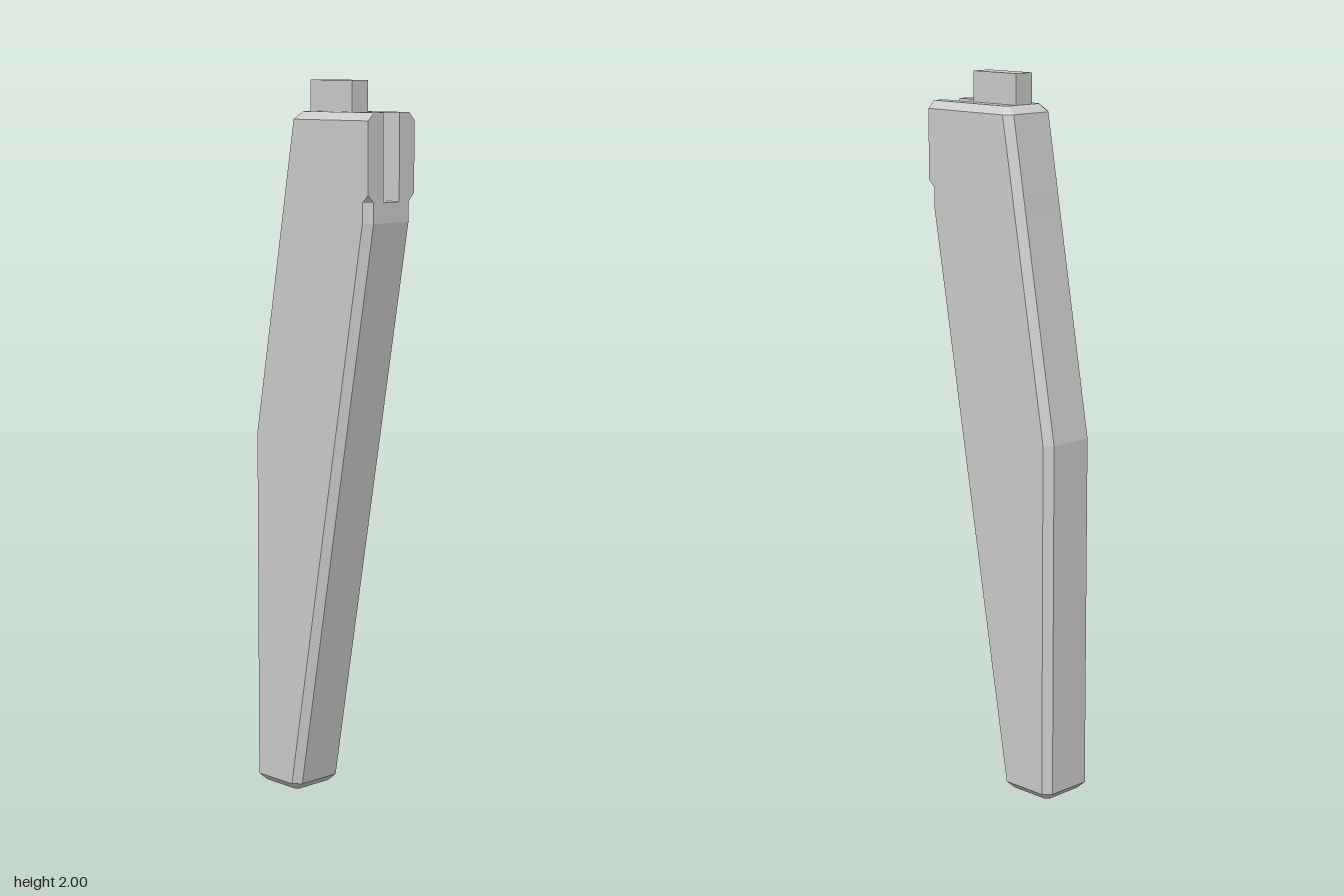
import * as THREE from 'three';

const SLOT = 0.03; // half width of the slot and its tab

// Horizontal section: chamfered rectangle with a slot cut into its front.
function section({ y, back, front, half, cb, cf, slot = front }) {
  const side = [
    [SLOT, slot], [SLOT, front], [half - cf, front],
    [half, front - cf], [half, back + cb], [half - cb, back],
  ];
  const other = side.map(([x, z]) => [-x, z]).reverse();
  return [...side, ...other].map(([x, z]) => new THREE.Vector3(x, y, z));
}

// Joins the sections from bottom to top and closes both ends.
function loft(rings) {
  const pos = [];
  const tri = (a, b, c) => {
    const area = b.clone().sub(a).cross(c.clone().sub(a)).length();
    if (area > 1e-8) for (const p of [a, b, c]) pos.push(p.x, p.y, p.z);
  };
  for (let r = 0; r + 1 < rings.length; r++) {
    const lo = rings[r], hi = rings[r + 1];
    for (let i = 0; i < lo.length; i++) {
      const j = (i + 1) % lo.length;
      tri(lo[i], lo[j], hi[j]);
      tri(lo[i], hi[j], hi[i]);
    }
  }
  const cap = (ring, up) => {
    const flat = ring.map((p) => new THREE.Vector2(p.x, -p.z));
    for (const [a, b, c] of THREE.ShapeUtils.triangulateShape(flat, [])) {
      if (up) tri(ring[a], ring[b], ring[c]);
      else tri(ring[a], ring[c], ring[b]);
    }
  };
  cap(rings[0], false);
  cap(rings[rings.length - 1], true);
  const geo = new THREE.BufferGeometry();
  geo.setAttribute('position', new THREE.Float32BufferAttribute(pos, 3));
  geo.computeVertexNormals();
  return geo;
}

export function createModel() {
  const group = new THREE.Group();
  const material = new THREE.MeshStandardMaterial({ color: 0xcccccc, flatShading: true });
  const add = (name, geometry) => {
    const mesh = new THREE.Mesh(geometry, material);
    mesh.name = name;
    group.add(mesh);
    return mesh;
  };

  // Bent, chamfered bar; the front chamfer stops just above the slot floor
  const half = 0.087, c = 0.021, slot = 0.1;
  add('bar', loft([
    { y: 0, back: -0.209, front: -0.071, half: 0.066, cb: 0.01, cf: 0.01 },
    { y: 0.021, back: -0.23, front: -0.05, half, cb: c, cf: c },
    { y: 1.02, back: -0.23, front: 0.1243, half, cb: c, cf: c },
    { y: 1.625, back: -0.124, front: 0.23, half, cb: c, cf: c },
    { y: 1.68, back: -0.1146, front: 0.23, half, cb: c, cf: c },
    { y: 1.68, back: -0.1146, front: 0.23, half, cb: c, cf: c, slot },
    { y: 1.701, back: -0.111, front: 0.23, half, cb: c, cf: 0, slot },
    { y: 1.895, back: -0.077, front: 0.23, half, cb: c, cf: 0, slot },
    { y: 1.916, back: -0.051, front: 0.23, half: 0.066, cb: 0.01, cf: 0, slot },
  ].map(section)));

  // Tab standing in the rear of the slot and rising above the bar
  add('tab', new THREE.BoxGeometry(2 * SLOT, 0.32, 0.162)).position.set(0, 1.84, 0.031);

  return group;
}
